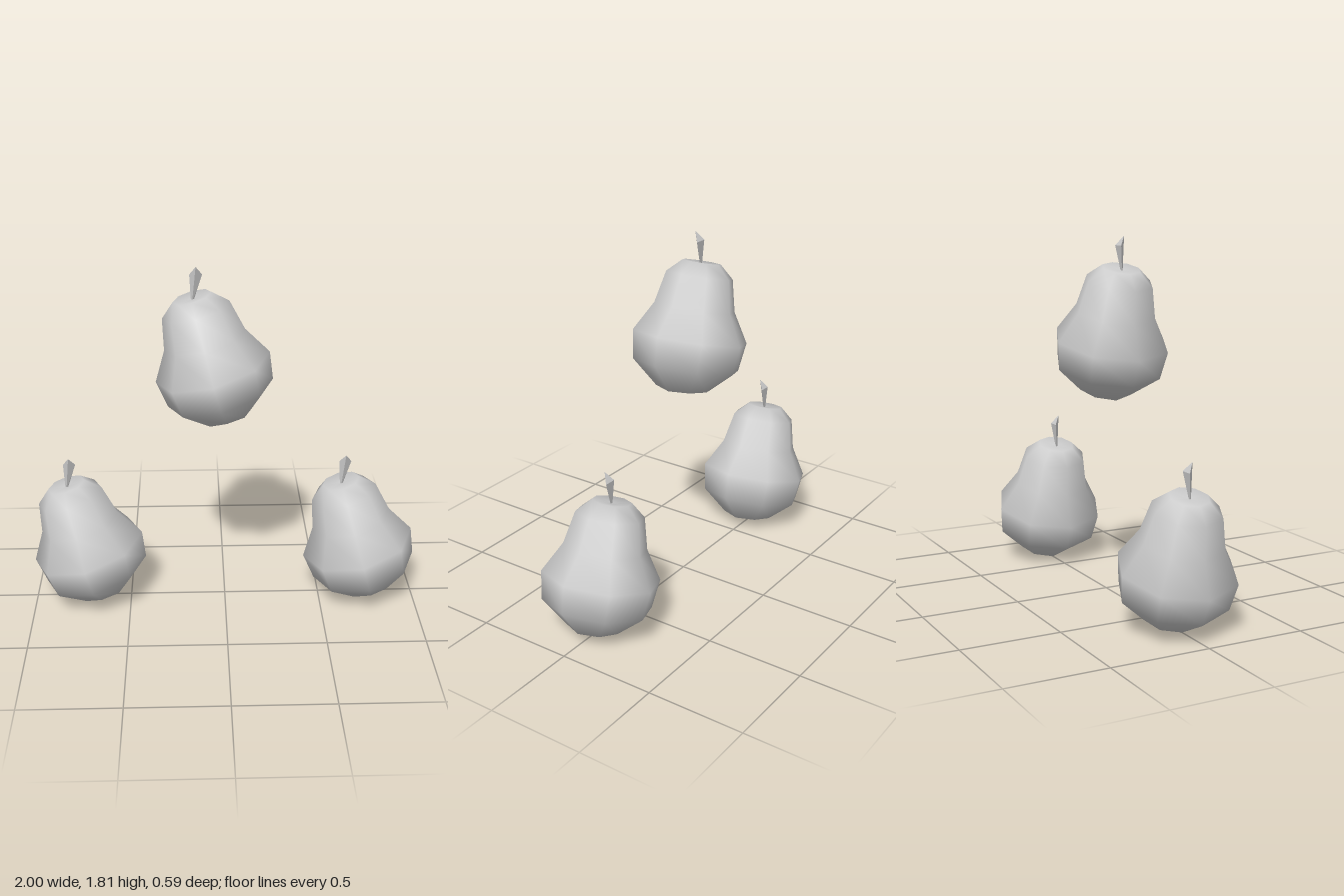
import * as THREE from 'three';

const material = new THREE.MeshStandardMaterial({ color: 0xcccccc, side: THREE.DoubleSide });
const stemMaterial = new THREE.MeshStandardMaterial({ color: 0xcccccc, flatShading: true });

// Move every vertex of a geometry by a rule
function reshape(geometry, rule) {
  const pos = geometry.attributes.position;
  const v = new THREE.Vector3();
  for (let i = 0; i < pos.count; i++) {
    rule(v.fromBufferAttribute(pos, i));
    pos.setXYZ(i, v.x, v.y, v.z);
  }
  return geometry;
}

// Eight-sided pear: radius and height along its axis, measured from the widest ring
function makeBody() {
  const profile = [
    [0, -0.252], [0.124, -0.274], [0.272, -0.143], [0.293, 0],
    [0.206, 0.148], [0.17, 0.308], [0.097, 0.374], [0, 0.362],
  ].map(([r, y]) => new THREE.Vector2(r, y));
  const geometry = reshape(new THREE.LatheGeometry(profile, 8), (v) => {
    // The rim under the pear is wider and slightly raised at front and back
    if (v.y < -0.26) {
      v.z *= 1.15;
      v.y += 0.018 * (v.z / 0.143) ** 2;
    }
  });
  const body = new THREE.Mesh(geometry, material);
  body.name = 'pearBody';
  body.rotation.z = 0.267;
  return body;
}

// Three-sided stem that flares to an obliquely cut top
function makeStem() {
  const geometry = reshape(new THREE.CylinderGeometry(0.036, 0.007, 0.144, 3), (v) => {
    v.z *= 0.6;
    if (v.y > 0) {
      v.x += 0.018;
      v.y += v.z * 1.45;
    }
  });
  const stem = new THREE.Mesh(geometry, stemMaterial);
  stem.name = 'stem';
  stem.position.set(-0.097, 0.414, 0.004);
  return stem;
}

export function createModel() {
  const model = new THREE.Group();
  model.name = 'threePears';
  // Two pears below, one above
  const places = [
    ['leftPear', -0.717, 0.298],
    ['upperPear', -0.06, 1.298],
    ['rightPear', 0.7, 0.298],
  ];
  for (const [name, x, y] of places) {
    const pear = new THREE.Group();
    pear.name = name;
    pear.add(makeBody(), makeStem());
    pear.position.set(x, y, 0);
    model.add(pear);
  }
  return model;
}
